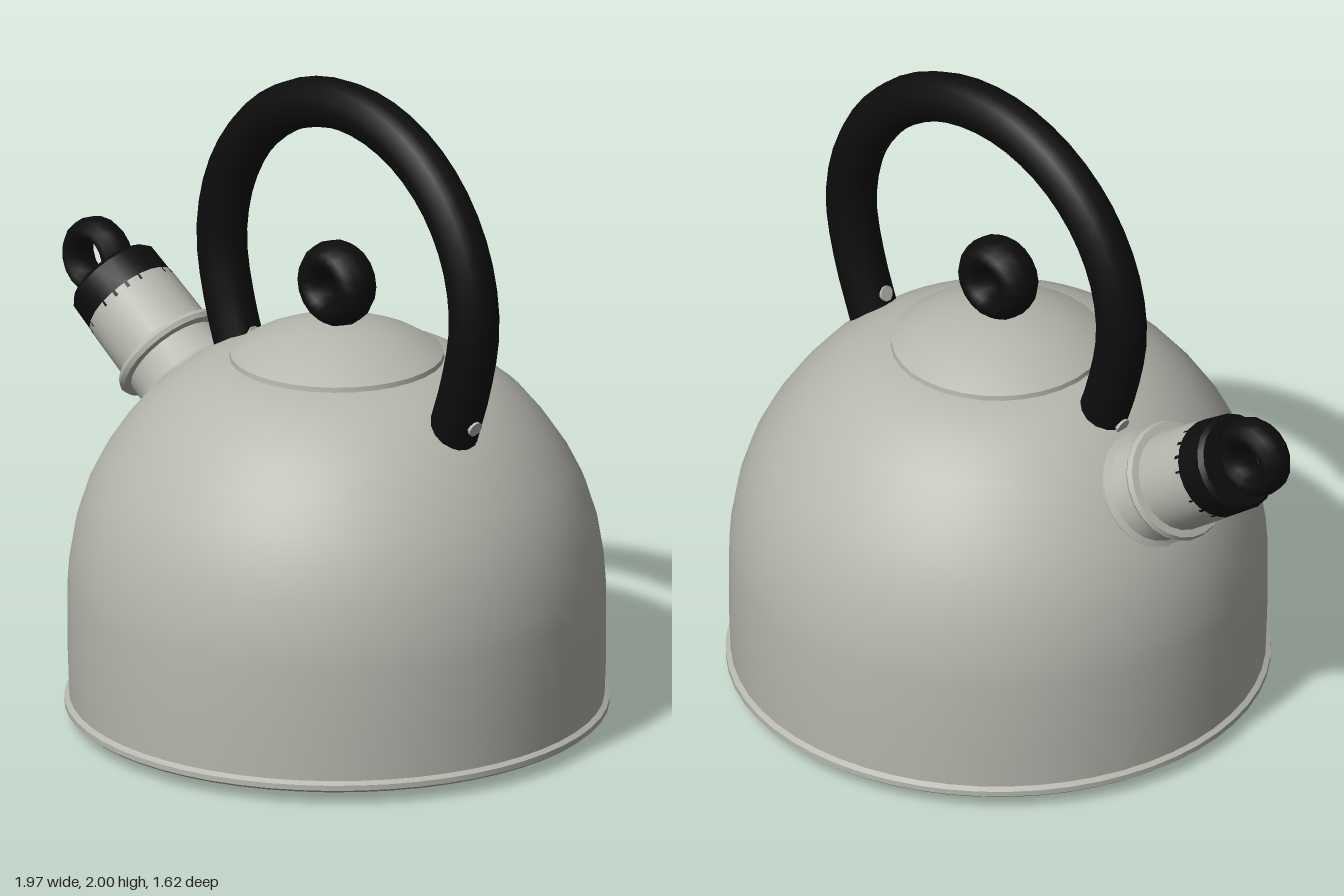
import * as THREE from 'three';
import { toCreasedNormals } from 'three/addons/utils/BufferGeometryUtils.js';

const steel = new THREE.MeshStandardMaterial({ color: 0xb6b7ae });
steel.name = 'brushed steel';
const black = new THREE.MeshStandardMaterial({ color: 0x0d0d0d });
black.name = 'black plastic';

function add(parent, name, geometry, material, x = 0, y = 0, z = 0) {
  const mesh = new THREE.Mesh(geometry, material);
  mesh.name = name;
  mesh.position.set(x, y, z);
  parent.add(mesh);
  return mesh;
}

// Turned part from [radius, height] pairs, listed bottom to top.
function turned(profile, segments) {
  const points = profile.map(([r, y]) => new THREE.Vector2(r, y));
  return toCreasedNormals(new THREE.LatheGeometry(points, segments), 0.6);
}

export function createModel() {
  const kettle = new THREE.Group();
  kettle.name = 'kettle';
  const cx = 0.165;

  // Domed body, with its rolled rim and stepped base
  add(kettle, 'body', turned([
    [0.795, 0.06], [0.8, 0.2], [0.8, 0.42], [0.795, 0.49], [0.775, 0.61],
    [0.74, 0.72], [0.695, 0.81], [0.635, 0.9], [0.565, 0.985], [0.48, 1.055],
    [0.4, 1.1], [0.31, 1.13], [0, 1.13],
  ], 56), steel, cx);
  add(kettle, 'rim', turned([
    [0.74, 0.03], [0.8, 0.038], [0.81, 0.046], [0.81, 0.062], [0.795, 0.072],
  ], 56), steel, cx);
  add(kettle, 'base', turned([
    [0, 0], [0.685, 0], [0.7, 0.008], [0.71, 0.03], [0.745, 0.032],
  ], 56), steel, cx);

  // Lid and ring knob
  add(kettle, 'lid', turned([
    [0, 1.115], [0.3, 1.115], [0.32, 1.125], [0.318, 1.142], [0.26, 1.178],
    [0.19, 1.207], [0.11, 1.228], [0.05, 1.236], [0, 1.236],
  ], 32), steel, cx);
  const knob = add(kettle, 'lidKnob', new THREE.TorusGeometry(0.083, 0.048, 12, 18), black, cx, 1.36);
  knob.scale.z = 1.45;

  // Arched handle: most of a circle with straight legs
  const hx = 0.213, hy = 1.38, radius = 0.547;
  const path = [new THREE.Vector3(hx + 0.452, 1.01, 0)];
  for (let deg = -20; deg <= 200; deg += 20) {
    const a = THREE.MathUtils.degToRad(deg);
    path.push(new THREE.Vector3(hx + radius * Math.cos(a), hy + radius * Math.sin(a), 0));
  }
  path.push(new THREE.Vector3(hx - 0.452, 1.01, 0));
  const curve = new THREE.CatmullRomCurve3(path);
  add(kettle, 'handle', new THREE.TubeGeometry(curve, 36, 0.076, 14), black);

  // Rounded handle ends and the rivets through each leg
  for (const side of [1, -1]) {
    const end = add(kettle, 'handleEnd', new THREE.SphereGeometry(0.076, 14, 10), black,
      hx + side * 0.452, 1.01);
    end.scale.y = 0.3;
    end.rotation.z = -side * 0.35;
    const rivet = add(kettle, 'handleRivet', new THREE.CylinderGeometry(0.024, 0.024, 0.162, 10), steel,
      hx + side * 0.478, 1.08);
    rivet.rotation.z = side * (Math.PI / 2 - 0.35) + Math.PI;
  }

  // Tilted spout; local y runs outward
  const spout = new THREE.Group();
  spout.name = 'spout';
  spout.position.set(-0.455, 0.885, 0);
  spout.rotation.z = 0.962;
  kettle.add(spout);
  add(spout, 'spoutTube', turned([
    [0.165, -0.1], [0.163, 0.03], [0.154, 0.05], [0.154, 0.12], [0.15, 0.33],
  ], 24), steel);
  add(spout, 'spoutFlange', turned([
    [0.16, -0.05], [0.182, -0.04], [0.182, 0.005], [0.158, 0.018],
  ], 24), steel);
  add(spout, 'spoutCollar', turned([
    [0.15, 0.105], [0.176, 0.108], [0.183, 0.122], [0.176, 0.137], [0.15, 0.14],
  ], 24), steel);

  // Whistle cap with a raised lip and pull ring
  add(spout, 'whistleCap', turned([
    [0.14, 0.31], [0.15, 0.312], [0.147, 0.42], [0.135, 0.434], [0.1, 0.434],
    [0.09, 0.405], [0, 0.405],
  ], 20), black);
  const ring = add(spout, 'whistleRing', new THREE.TorusGeometry(0.086, 0.037, 10, 16), black, 0, 0.508);
  ring.scale.z = 1.5;

  return kettle;
}
